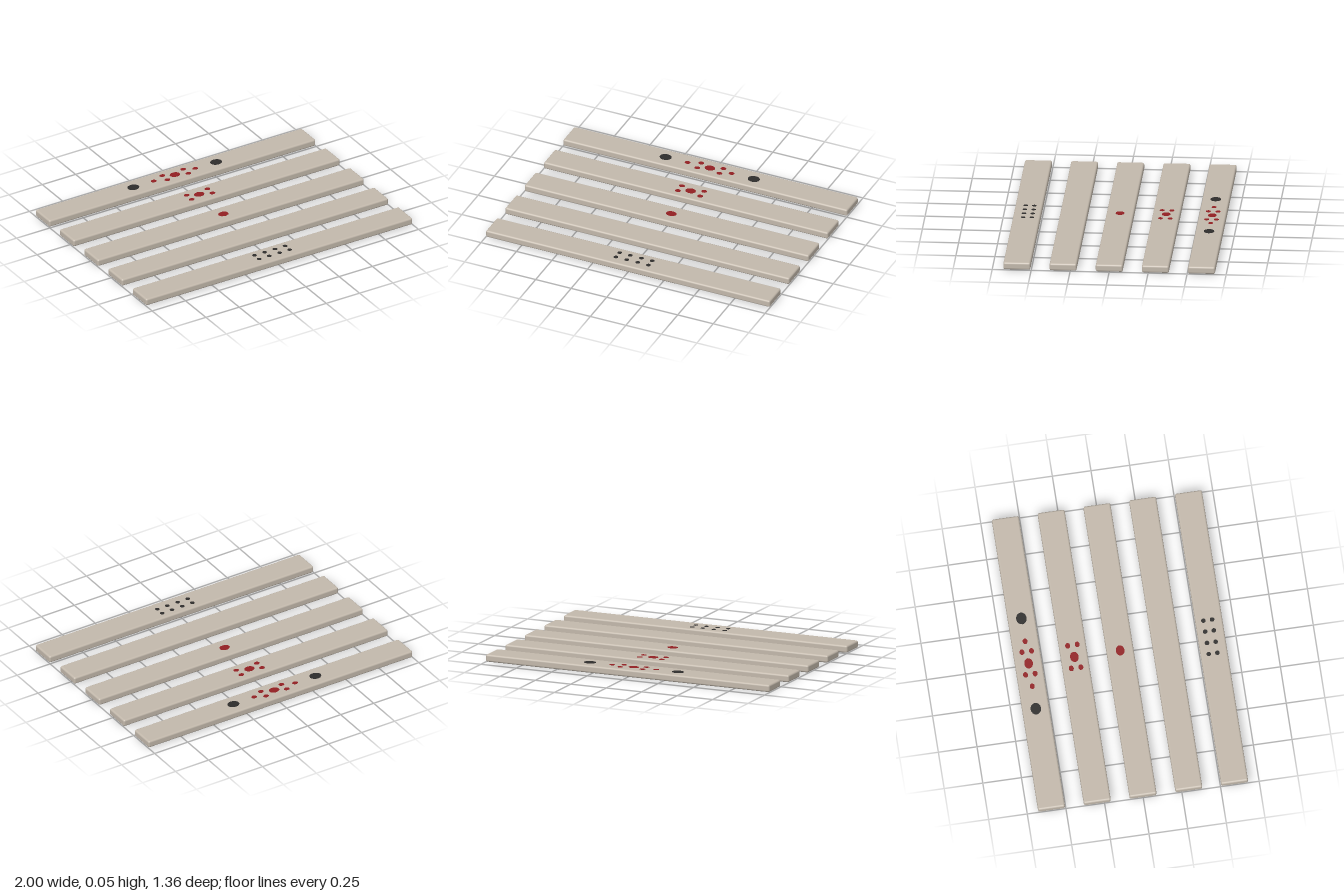
import * as THREE from 'three';
import { RoundedBoxGeometry } from 'three/addons/geometries/RoundedBoxGeometry.js';

const mat = (name, color) => {
  const m = new THREE.MeshStandardMaterial({ color });
  m.name = name;
  return m;
};

export function createModel() {
  const stone = mat('pale stone', 0xc2b8ab);
  const red = mat('dark red', 0x921f22);
  const black = mat('charcoal', 0x2d2c2b);
  const model = new THREE.Group();
  model.name = 'markedSlats';

  // Each slat's inlays: [x, z offset, x radius, z radius, material]
  const small = (x, z) => [x, z, 0.019, 0.016, red];
  const corners = [-0.08, 0.076].flatMap(x => [-0.031, 0.031].map(z => small(x, z)));
  const centre = [-0.005, 0, 0.035, 0.028, red];
  const pips = [-0.113, -0.037, 0.041, 0.116].flatMap(x =>
    [-0.035, 0.021].map(z => [x, z, 0.015, 0.015, black]));
  const rows = [
    [[-0.317, 0, 0.04, 0.034, black], [0.304, 0, 0.04, 0.034, black],
      small(-0.163, 0), small(0.147, 0), ...corners, centre],
    [...corners, centre],
    [centre],
    [],
    pips,
  ];

  const slatGeometry = new RoundedBoxGeometry(2, 0.048, 0.174, 3, 0.012);
  const discGeometry = new THREE.CylinderGeometry(1, 1, 0.002, 16);

  rows.forEach((inlays, i) => {
    const row = new THREE.Group();
    row.name = `slatRow${i + 1}`;
    row.position.z = (i - 2) * 0.296;
    model.add(row);

    // Rounded slat
    const slat = new THREE.Mesh(slatGeometry, stone);
    slat.name = 'slat';
    slat.position.y = 0.025;
    row.add(slat);

    // Inlaid dots, showing on the top and the underside
    for (const [x, z, rx, rz, material] of inlays) {
      for (const y of [0.049, 0.001]) {
        const dot = new THREE.Mesh(discGeometry, material);
        dot.name = y > 0.02 ? 'topDot' : 'undersideDot';
        dot.position.set(x, y, z);
        dot.scale.set(rx, 1, rz);
        row.add(dot);
      }
    }
  });
  return model;
}
